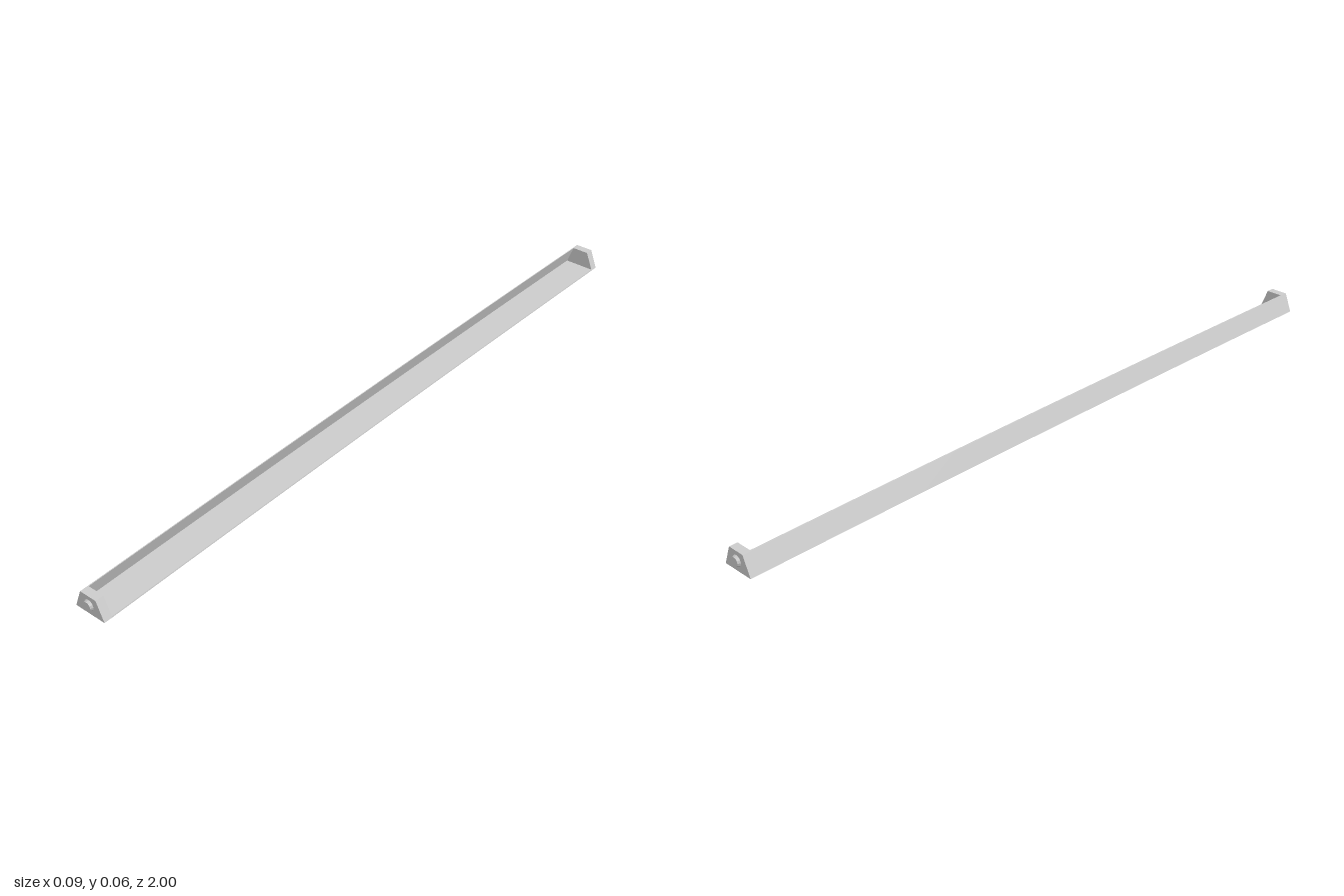
import * as THREE from 'three';

const CAP_INNER = 0.97, CAP_OUTER = 0.993, BOW = 0.005;

function shapeOf(points) {
  return new THREE.Shape(points.map(([x, y]) => new THREE.Vector2(x, y)));
}

export function createModel() {
  const model = new THREE.Group();
  const material = new THREE.MeshStandardMaterial({ color: 0xcccccc, flatShading: true });
  const add = (name, geometry, parent = model) => {
    const mesh = new THREE.Mesh(geometry, material);
    mesh.name = name;
    parent.add(mesh);
    return mesh;
  };

  // Long rail: flat floor and one sloping wall, bowed slightly upward mid-span
  const railShape = shapeOf([
    [-0.046, 0], [0.046, 0], [0.0455, 0.003], [-0.0415, 0.003], [-0.0225, 0.053], [-0.025, 0.053],
  ]);
  const rail = new THREE.ExtrudeGeometry(railShape, { depth: 2 * CAP_INNER, steps: 16, bevelEnabled: false });
  rail.translate(0, 0, -CAP_INNER);
  const pos = rail.attributes.position;
  for (let i = 0; i < pos.count; i++) {
    const t = pos.getZ(i) / CAP_INNER;
    pos.setY(i, pos.getY(i) + BOW * (1 - t * t));
  }
  rail.computeVertexNormals();
  add('rail', rail);

  // Trapezoid end plates, each with a chamfered round boss on its outer face
  const capShape = shapeOf([[-0.046, 0], [0.046, 0], [0.025, 0.053], [-0.025, 0.053]]);
  for (const [name, turn] of [['front', 0], ['back', Math.PI]]) {
    const end = new THREE.Group();
    end.name = name + 'End';
    end.rotation.y = turn;
    model.add(end);

    const plate = new THREE.ExtrudeGeometry(capShape, { depth: CAP_OUTER - CAP_INNER, bevelEnabled: false });
    add(name + 'EndPlate', plate.translate(0, 0, CAP_INNER), end);

    const boss = new THREE.CylinderGeometry(0.012, 0.015, 1 - CAP_OUTER, 12);
    add(name + 'Boss', boss.rotateX(Math.PI / 2).translate(0, 0.027, (1 + CAP_OUTER) / 2), end);
  }
  return model;
}
